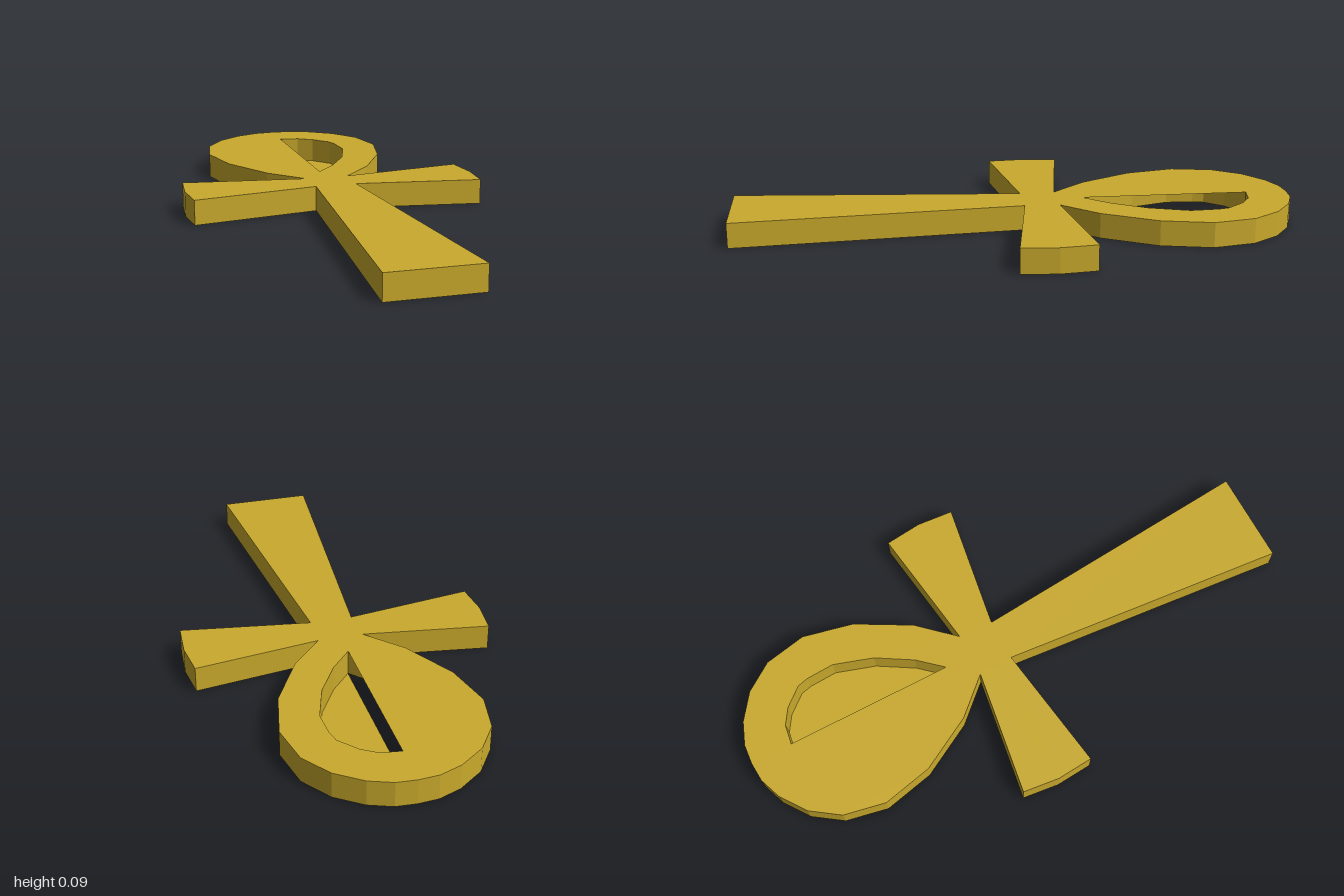
import * as THREE from 'three';

const HEIGHT = 0.09;

// Half profiles on the +x side, as [x, z], from the back of the loop to the front
const OUTLINE = [
  [0, -1], [0.07, -0.995], [0.15, -0.965], [0.24, -0.9], [0.31, -0.8], [0.34, -0.65],
  [0.3, -0.47], [0.195, -0.28], [0.08, -0.155],          // loop
  [0.525, -0.22], [0.54, -0.09], [0.53, 0.04],           // flared arm
  [0.075, -0.03], [0.165, 1],                            // stem
];
const OPENING = [
  [0, -0.85], [0.07, -0.84], [0.125, -0.805], [0.18, -0.74], [0.19, -0.7],
  [0.195, -0.6], [0.15, -0.46], [0.075, -0.335], [0, -0.25],
];

// Closes a half profile by mirroring it across x = 0
function mirrored(half) {
  const other = half.filter(([x]) => x > 0).reverse().map(([x, z]) => [-x, z]);
  return [...half, ...other];
}

// Vertical wall that follows a closed ring of [x, z] points
function wallGeometry(ring) {
  const pos = [];
  ring.forEach(([ax, az], i) => {
    const [bx, bz] = ring[(i + 1) % ring.length];
    pos.push(ax, 0, az, ax, HEIGHT, az, bx, HEIGHT, bz);
    pos.push(ax, 0, az, bx, HEIGHT, bz, bx, 0, bz);
  });
  const geo = new THREE.BufferGeometry();
  geo.setAttribute('position', new THREE.Float32BufferAttribute(pos, 3));
  geo.computeVertexNormals();
  return geo;
}

// Flat face with the opening cut through its +x half only
function faceGeometry() {
  const toPlan = ([x, z]) => new THREE.Vector2(x, -z);
  const shape = new THREE.Shape(mirrored(OUTLINE).map(toPlan));
  shape.holes.push(new THREE.Path(OPENING.map(toPlan)));
  return new THREE.ShapeGeometry(shape).rotateX(-Math.PI / 2);
}

export function createModel() {
  const group = new THREE.Group();
  group.name = 'loopedCross';
  const gold = new THREE.MeshStandardMaterial({ color: 0xc9a92c, side: THREE.DoubleSide });

  const add = (name, geo) => {
    const mesh = new THREE.Mesh(geo, gold);
    mesh.name = name;
    group.add(mesh);
    return mesh;
  };

  add('outerWall', wallGeometry(mirrored(OUTLINE)));
  add('openingWall', wallGeometry(mirrored(OPENING).reverse()));

  // The bottom is the top turned over, so its half opening lies on the -x side
  const face = faceGeometry();
  add('topFace', face).position.y = HEIGHT;
  add('bottomFace', face).rotation.z = Math.PI;

  return group;
}
